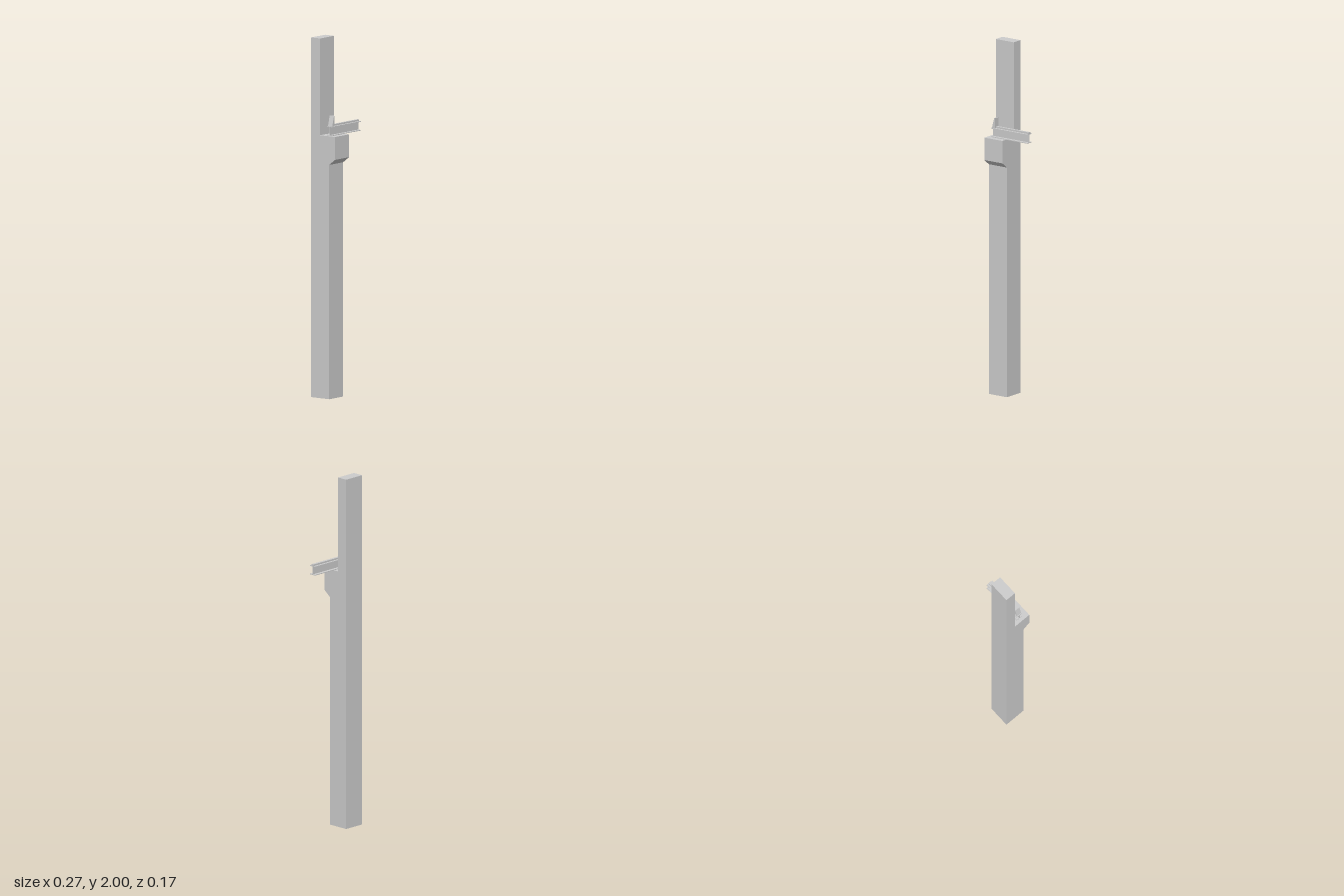
import * as THREE from 'three';

const material = new THREE.MeshStandardMaterial({ color: 0xcccccc, flatShading: true, side: THREE.DoubleSide });

function shapeOf(points) {
  return new THREE.Shape(points.map(([a, b]) => new THREE.Vector2(a, b)));
}

// Extrudes a (z, y) profile along x from x0 to x1
function extrudeAlongX(points, x0, x1) {
  const shape = shapeOf(points.map(([z, y]) => [-z, y]));
  const geo = new THREE.ExtrudeGeometry(shape, { depth: x1 - x0, bevelEnabled: false });
  return geo.rotateY(Math.PI / 2).translate(x0, 0, 0);
}

// Drops the triangles that lie on the ground, leaving the underside open
function openUnderside(geo) {
  const src = geo.index ? geo.toNonIndexed() : geo;
  const p = src.attributes.position;
  const kept = [];
  for (let i = 0; i < p.count; i += 3) {
    if ([0, 1, 2].every((k) => Math.abs(p.getY(i + k)) < 1e-6)) continue;
    for (let k = 0; k < 3; k++) kept.push(p.getX(i + k), p.getY(i + k), p.getZ(i + k));
  }
  const out = new THREE.BufferGeometry();
  out.setAttribute('position', new THREE.Float32BufferAttribute(kept, 3));
  out.computeVertexNormals();
  return out;
}

export function createModel() {
  const group = new THREE.Group();
  const add = (name, geo, parent = group) => {
    const mesh = new THREE.Mesh(geo, material);
    mesh.name = name;
    parent.add(mesh);
    return mesh;
  };

  // Column with corbel and slimmer upper shaft
  const column = [
    [-0.084, 0], [0.042, 0], [0.042, 1.303], [0.083, 1.335],
    [0.083, 1.462], [-0.022, 1.462], [-0.022, 2], [-0.084, 2],
  ];
  add('column', openUnderside(extrudeAlongX(column, -0.136, -0.012)));

  // Crane beam: I-section resting on the corbel
  const beam = new THREE.Group();
  beam.name = 'craneBeam';
  group.add(beam);
  const zc = 0.03, y0 = 1.462, y1 = 1.514, half = 0.02, web = 0.002, t = 0.004;
  const rightHalf = [[half, y0], [half, y0 + t], [web, y0 + t], [web, y1 - t], [half, y1 - t], [half, y1]];
  const leftHalf = rightHalf.map(([z, y]) => [-z, y]).reverse();
  const section = [...rightHalf, ...leftHalf].map(([z, y]) => [z + zc, y]);
  add('iBeam', extrudeAlongX(section, -0.116, 0.135), beam);

  // Running rail on the top flange
  const rail = new THREE.BoxGeometry(0.226, 0.009, 0.014);
  add('rail', rail.translate(0.022, y1 + 0.0045, zc), beam);

  // Tapered end stop
  const stop = new THREE.ExtrudeGeometry(
    shapeOf([[-0.112, y1], [-0.091, y1], [-0.091, 1.571], [-0.097, 1.571]]),
    { depth: 0.03, bevelEnabled: false },
  );
  add('endStop', stop.translate(0, 0, zc - 0.015), beam);

  return group;
}
